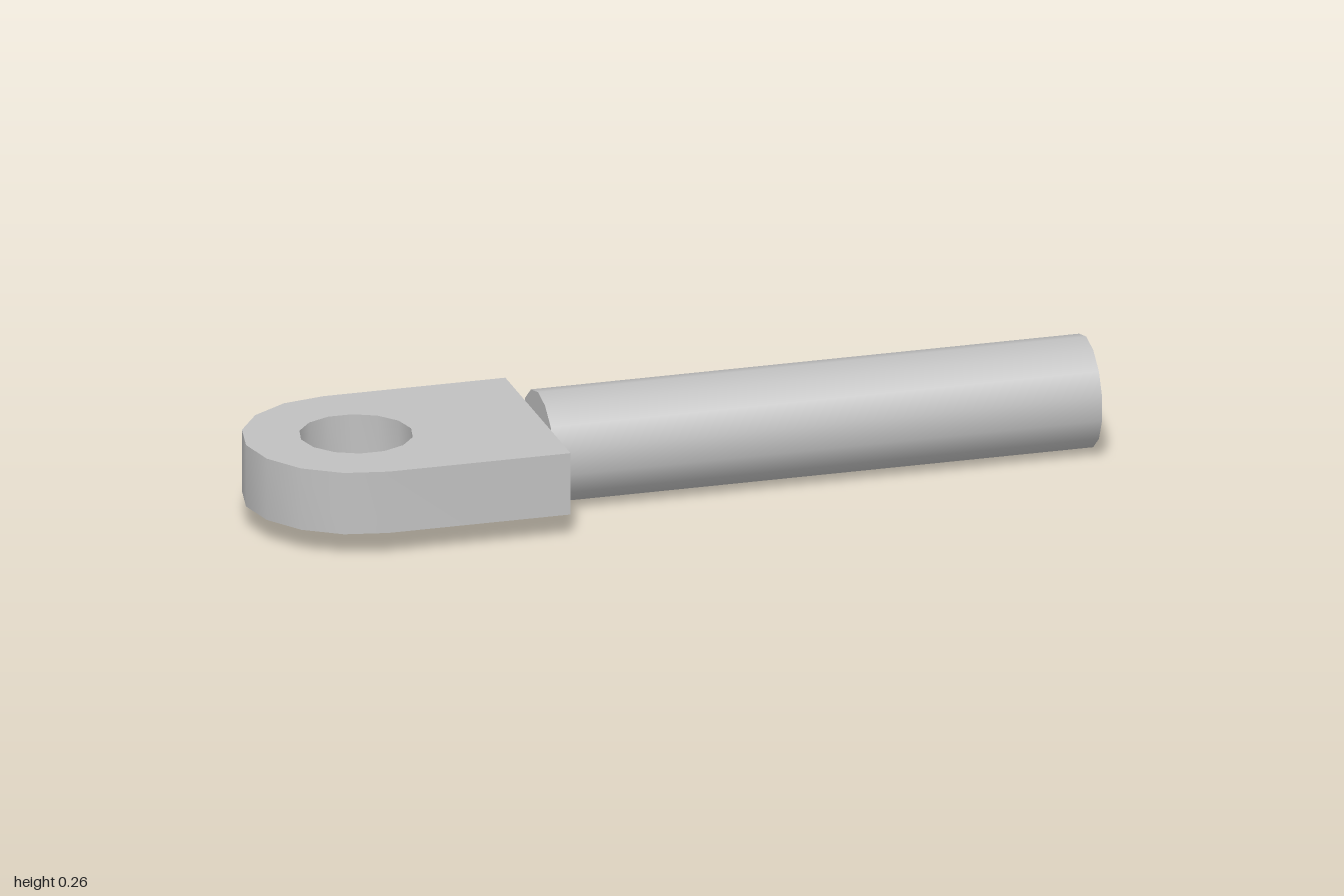
import * as THREE from 'three';
import { toCreasedNormals } from 'three/addons/utils/BufferGeometryUtils.js';

const EYE_X = -0.738, EYE_R = 0.262, ROD_R = 0.131, JOIN_X = -0.305;
const THICKNESS = 0.149;

// Points along an arc around the eye centre
function arc(radius, start, sweep, segments) {
  return Array.from({ length: segments + 1 }, (_, i) => {
    const a = start + (sweep * i) / segments;
    return new THREE.Vector2(EYE_X + radius * Math.cos(a), radius * Math.sin(a));
  });
}

export function createModel() {
  const group = new THREE.Group();
  group.name = 'rodEye';
  const steel = new THREE.MeshStandardMaterial({ color: 0xc0c0c0 });
  steel.name = 'light grey steel';

  // Flat tongue with a rounded end and a round through hole
  const outline = new THREE.Shape([
    new THREE.Vector2(JOIN_X, -EYE_R),
    new THREE.Vector2(JOIN_X, EYE_R),
    ...arc(EYE_R, Math.PI / 2, Math.PI, 8),
  ]);
  outline.holes.push(new THREE.Path(arc(ROD_R, 0, -Math.PI * 2, 14).slice(0, -1)));
  const plate = new THREE.ExtrudeGeometry(outline, { depth: THICKNESS, bevelEnabled: false });
  plate.rotateX(Math.PI / 2);
  plate.translate(0, ROD_R + THICKNESS / 2, 0);
  const tongue = new THREE.Mesh(toCreasedNormals(plate, 0.6), steel);
  tongue.name = 'eyeTongue';
  group.add(tongue);

  // Round shank, with a corner of its cross-section at the top
  const length = 1 - JOIN_X;
  const rod = new THREE.CylinderGeometry(ROD_R, ROD_R, length, 14, 1, false, Math.PI / 2);
  rod.rotateZ(-Math.PI / 2);
  rod.translate(JOIN_X + length / 2, ROD_R, 0);
  const shank = new THREE.Mesh(rod, steel);
  shank.name = 'shank';
  group.add(shank);

  return group;
}
